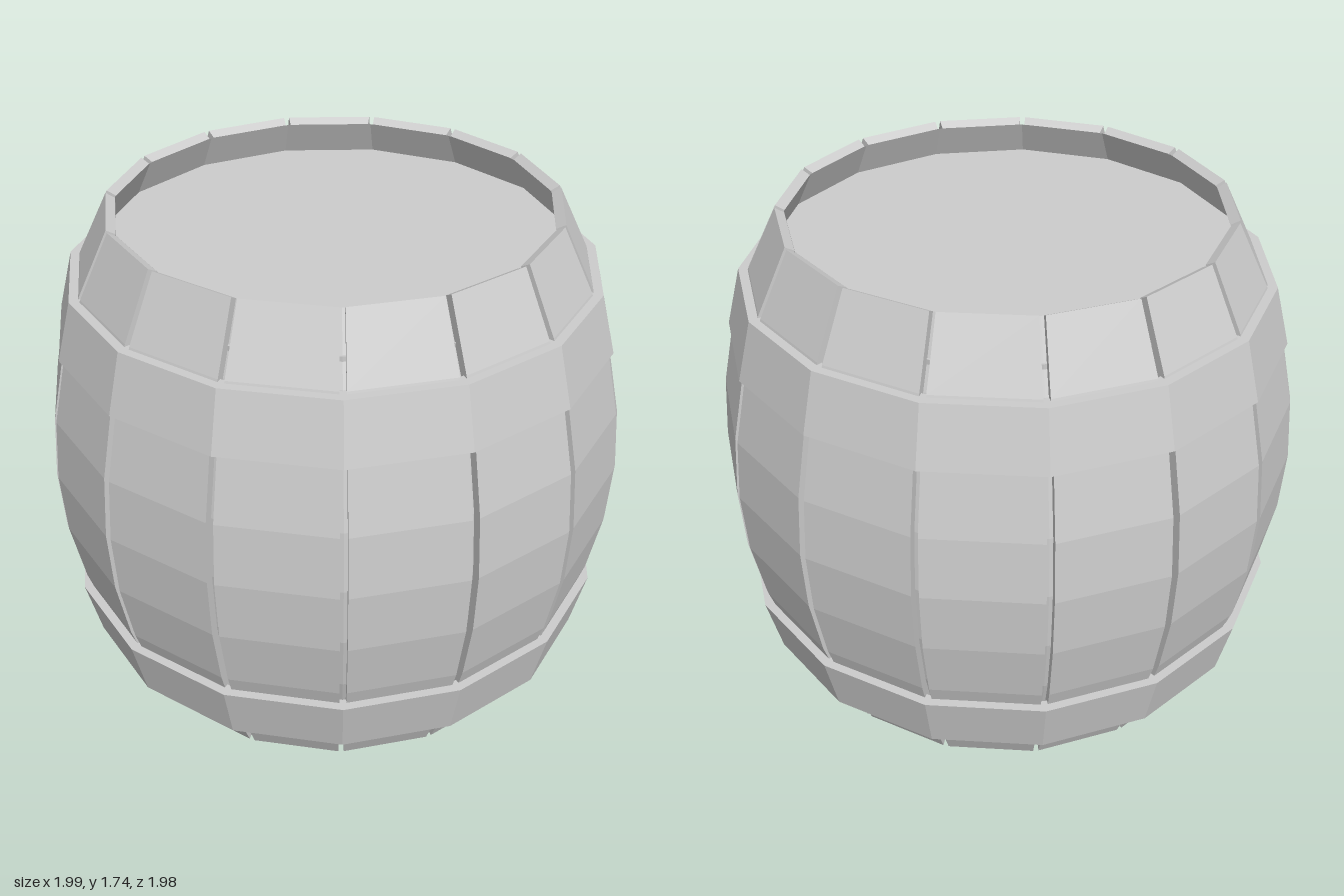
import * as THREE from 'three';

const SIDES = 15, STEP = (Math.PI * 2) / SIDES, HALF = STEP / 2;
const HEIGHT = 1.74, LEVELS = 8, THICK = 0.035, GAP = 0.0125;

// Bulging barrel profile: corner radius at height y
const radiusAt = (y) => {
  const t = (y - HEIGHT / 2) / (HEIGHT / 2);
  return 1.004 - 0.241 * t * t;
};

// Profile point pushed inward, square to the curve
function profilePoint(i, depth) {
  const y = (HEIGHT * i) / LEVELS;
  const slope = (radiusAt(y + 0.01) - radiusAt(y - 0.01)) / 0.02;
  const len = Math.hypot(1, slope);
  return new THREE.Vector2(radiusAt(y) - depth / len, y + (depth * slope) / len);
}

// One curved plank facing +z, lofted from four-cornered sections
function staveGeometry() {
  const pos = [], index = [], a = HALF - GAP;
  const shrink = Math.cos(HALF) / Math.cos(a);
  for (let i = 0; i <= LEVELS; i++) {
    const o = profilePoint(i, 0), n = profilePoint(i, THICK);
    for (const [p, ang] of [[o, -a], [o, a], [n, a], [n, -a]]) {
      const r = p.x * shrink;
      pos.push(r * Math.sin(ang), p.y, r * Math.cos(ang));
    }
  }
  for (let i = 0; i < LEVELS; i++) {
    for (let k = 0; k < 4; k++) {
      const p = i * 4 + k, q = i * 4 + ((k + 1) % 4);
      index.push(p, q, q + 4, p, q + 4, p + 4);
    }
  }
  const e = LEVELS * 4;
  index.push(0, 2, 1, 0, 3, 2, e, e + 1, e + 2, e, e + 2, e + 3);
  const g = new THREE.BufferGeometry();
  g.setAttribute('position', new THREE.Float32BufferAttribute(pos, 3));
  g.setIndex(index);
  g.computeVertexNormals();
  return g;
}

// Faceted ring whose corners line up with the gaps between staves
const ring = (points) => new THREE.LatheGeometry(points, SIDES, HALF);

export function createModel() {
  const grey = new THREE.MeshStandardMaterial({
    color: 0xcccccc, flatShading: true, side: THREE.DoubleSide,
  });
  grey.name = 'grey';
  const model = new THREE.Group();
  model.name = 'barrel';
  const add = (name, geometry) => {
    const mesh = new THREE.Mesh(geometry, grey);
    mesh.name = name;
    mesh.position.z = 0.009;
    model.add(mesh);
    return mesh;
  };

  // Staves
  const stave = staveGeometry();
  for (let i = 0; i < SIDES; i++) add('stave' + (i + 1), stave).rotation.y = i * STEP;

  // Continuous inner wall behind the gaps
  const inner = [];
  for (let i = 0; i <= LEVELS; i++) inner.push(profilePoint(i, THICK + 0.001));
  add('innerWall', ring(inner));

  // Hoops, wider toward the middle of the barrel
  const hoop = (name, yWide, yNarrow) => {
    const v = (r, y) => new THREE.Vector2(r, y);
    const pts = [
      v(radiusAt(yWide) - 0.02, yWide), v(0.954, yWide),
      v(0.902, yNarrow), v(radiusAt(yNarrow) - 0.02, yNarrow),
    ];
    if (yWide > yNarrow) pts.reverse();
    add(name, ring(pts));
  };
  hoop('upperHoop', 1.31, 1.515);
  hoop('lowerHoop', 0.375, 0.17);

  // Recessed end discs
  const disc = (name, y, dir) => {
    const r = radiusAt(y) - THICK;
    const mesh = add(name, new THREE.CylinderGeometry(r, r, 0.02, SIDES, 1, false, HALF));
    mesh.position.y = y - dir * 0.01;
  };
  disc('lid', 1.6, 1);
  disc('base', 0.17, -1);

  return model;
}
